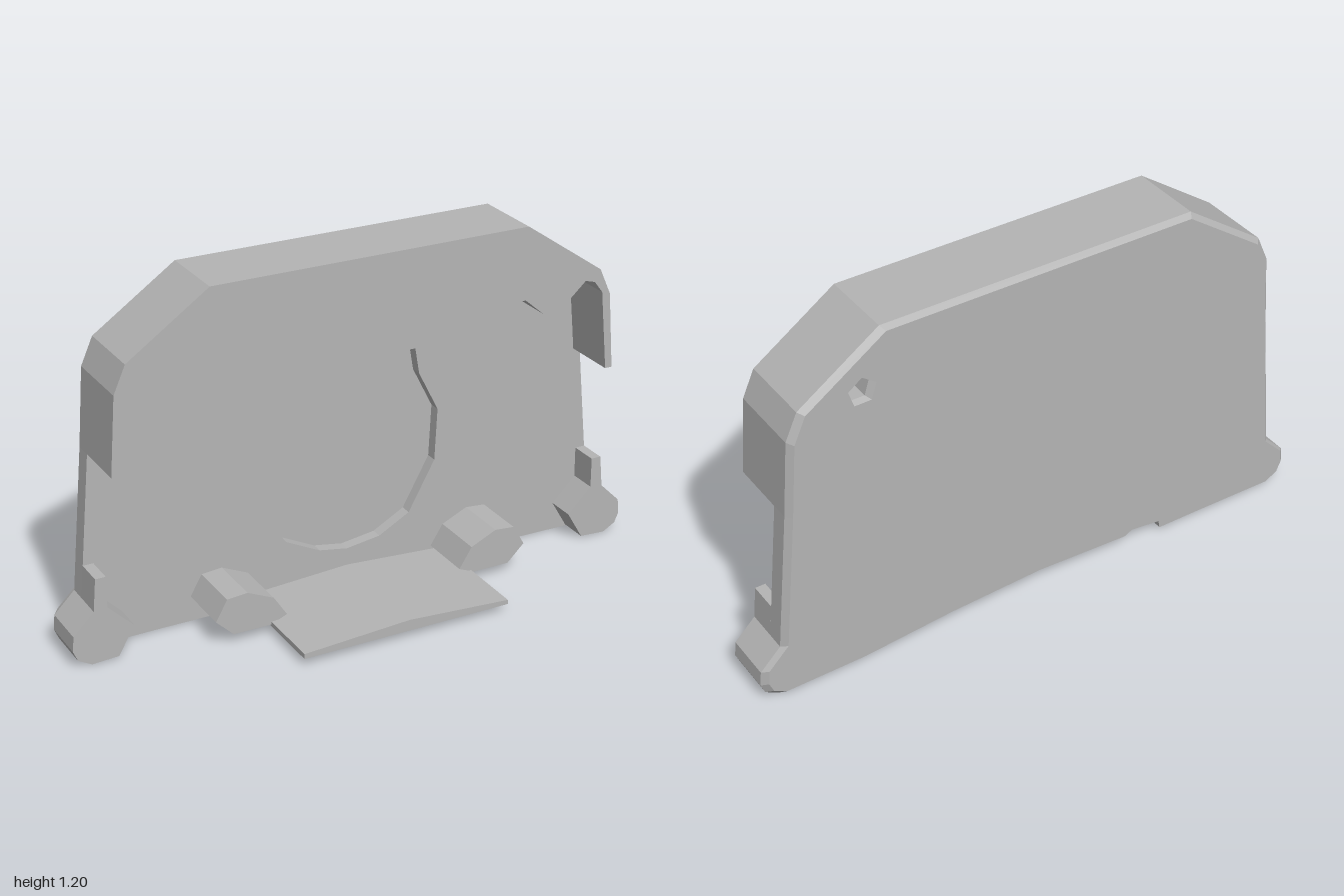
import * as THREE from 'three';

const grey = new THREE.MeshStandardMaterial({ color: 0xb4b4b4 });
grey.name = 'plain grey';

const toPoints = (list) => list.map(([x, y]) => new THREE.Vector2(x, y));
const mirrored = (list) => list.map(([x, y]) => [-x, y]).reverse();

// Flat-sided prism with an outline in x and y, between two depths
function prism(name, outline, zBack, zFront, holes = []) {
  const shape = new THREE.Shape(toPoints(outline));
  for (const hole of holes) shape.holes.push(new THREE.Path(toPoints(hole)));
  const geometry = new THREE.ExtrudeGeometry(shape, { depth: zFront - zBack, bevelEnabled: false });
  geometry.translate(0, 0, zBack);
  const mesh = new THREE.Mesh(geometry, grey);
  mesh.name = name;
  return mesh;
}

export function createModel() {
  const model = new THREE.Group();
  model.name = 'coverPlate';

  // Right-hand half outlines, mirrored where needed
  const side = [
    [0.94, 0], [0.985, 0.025], [1, 0.06], [0.995, 0.11], [0.925, 0.18],
    [0.88, 0.66], [0.86, 0.92], [0.82, 1.01], [0.545, 1.2],
  ];
  const plateOutline = [
    ...side, ...mirrored(side),
    [-0.66, 0.003], [-0.485, 0.003], [-0.48, 0.032], [-0.37, 0.045], [-0.34, 0.03],
    [0, 0.045], [0.34, 0.03], [0.66, 0.003],
  ];

  // Window recess: flat top and rounded bottom
  const recess = [
    [-0.25, 0.78], [0.25, 0.78], [0.265, 0.69], [0.335, 0.55], [0.325, 0.37], [0.23, 0.2],
    [0.12, 0.14], [0, 0.123], [-0.1, 0.14], [-0.22, 0.2], [-0.31, 0.32], [-0.345, 0.46],
    [-0.335, 0.55], [-0.27, 0.68],
  ];

  // Small five-sided socket in the back
  const socket = [];
  for (let i = 0; i < 5; i++) {
    const a = (i / 5) * Math.PI * 2 + 0.3;
    socket.push([0.63 + 0.05 * Math.cos(a), 1.02 + 0.05 * Math.sin(a)]);
  }

  // Plate in three layers; the rear layer tapers to a chamfered edge
  model.add(prism('plateFront', plateOutline, -0.21, -0.17, [recess, socket]));
  model.add(prism('plateFloor', plateOutline, -0.23, -0.21, [socket]));
  const back = prism('plateBack', plateOutline, -0.25, -0.23, [socket]);
  const p = back.geometry.attributes.position;
  for (let i = 0; i < p.count; i++) {
    if (p.getZ(i) < -0.24) p.setXY(i, p.getX(i) * 0.98, 0.6 + (p.getY(i) - 0.6) * 0.98);
  }
  back.geometry.computeVertexNormals();
  model.add(back);

  // Deep hood over the top, with arms running down both sides
  const hoodOuter = side.slice(5);
  const hoodInner = [
    [0.54, 0.955], [0.61, 0.895], [0.67, 0.895], [0.765, 0.98], [0.80, 0.97], [0.83, 0.93], [0.855, 0.66],
  ];
  model.add(prism('hood', [
    ...hoodOuter, ...mirrored(hoodOuter), ...mirrored(hoodInner), ...hoodInner,
  ], -0.17, 0.02));

  // Corner feet with upright prongs, and the two bumps beside the tongue
  const foot = [
    [0.85, 0.005], [0.94, 0], [0.985, 0.025], [1, 0.06], [0.995, 0.11], [0.925, 0.18],
    [0.915, 0.29], [0.88, 0.29], [0.88, 0.185], [0.795, 0.1],
  ];
  const bump = [
    [0.37, 0.032], [0.5, 0.032], [0.56, 0.09], [0.52, 0.16], [0.45, 0.166], [0.36, 0.125], [0.315, 0.055],
  ];
  for (const [sideName, flip] of [['left', (o) => o], ['right', mirrored]]) {
    model.add(prism(sideName + 'Foot', flip(foot), -0.17, -0.07));
    model.add(prism(sideName + 'Bump', flip(bump), -0.17, 0.02));
  }

  // Thin tongue reaching forward at the base
  model.add(prism('tongue', [
    [-0.37, 0.025], [0.36, 0.025], [0.36, 0.04], [0, 0.063], [-0.37, 0.042],
  ], -0.17, 0.25));

  return model;
}
